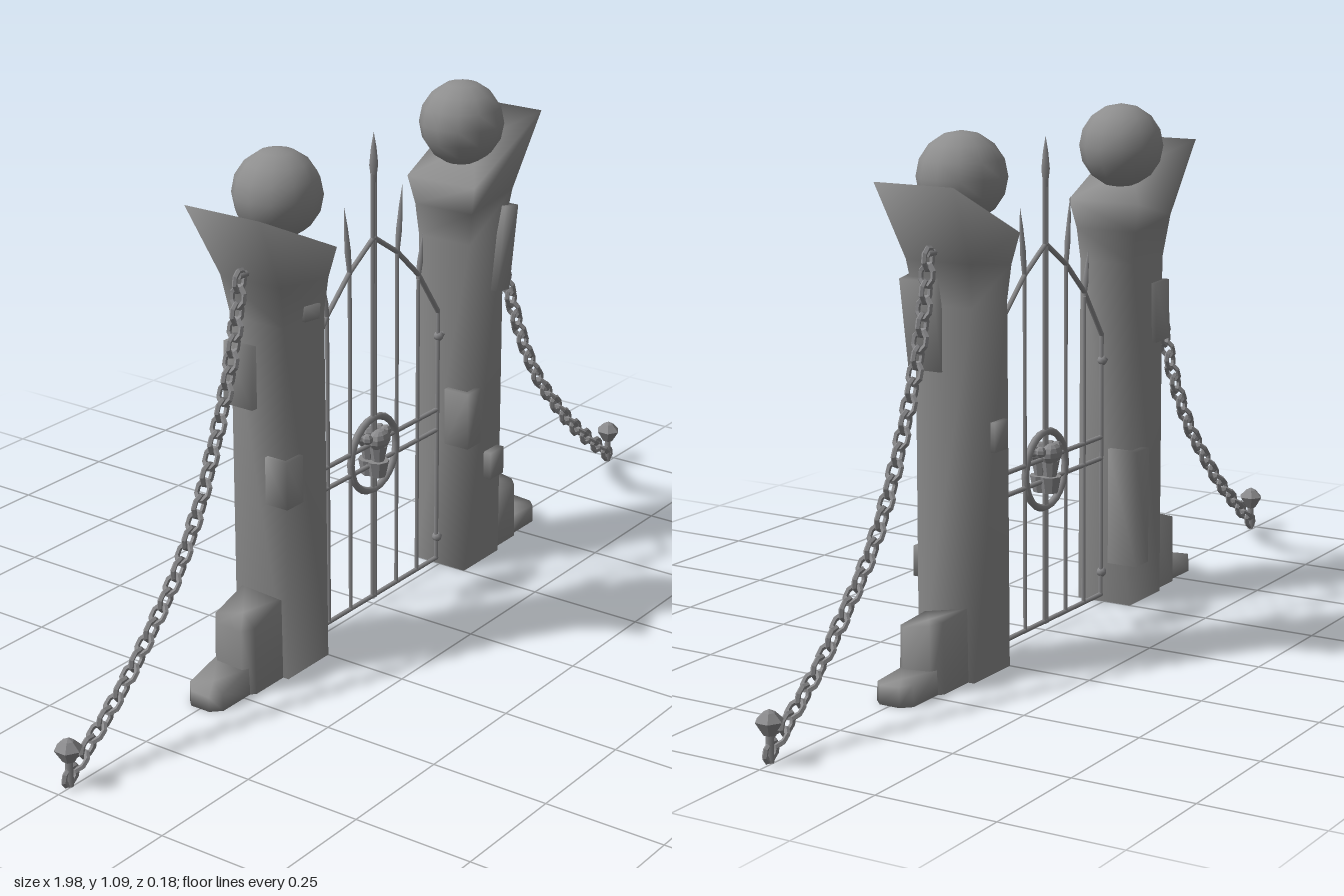
import * as THREE from 'three';
import { mergeVertices } from 'three/addons/utils/BufferGeometryUtils.js';

const stone = new THREE.MeshStandardMaterial({ color: 0x8e8e8e });
const iron = new THREE.MeshStandardMaterial({ color: 0x8a8a8c });
const facetedIron = new THREE.MeshStandardMaterial({ color: 0x8a8a8c, flatShading: true });
const V = (x, y, z = 0) => new THREE.Vector3(x, y, z);

function add(parent, name, geometry, material, pos = [0, 0, 0]) {
  const mesh = new THREE.Mesh(geometry, material);
  mesh.name = name;
  mesh.position.set(...pos);
  parent.add(mesh);
  return mesh;
}

// Straight round rod between two points
function rod(parent, name, a, b, r) {
  const d = b.clone().sub(a);
  const m = add(parent, name, new THREE.CylinderGeometry(r, r, d.length(), 6), iron);
  m.position.copy(a).add(b).multiplyScalar(0.5);
  m.quaternion.setFromUnitVectors(V(0, 1), d.normalize());
  return m;
}

// Softly shaded solid through closed rings of points, from the bottom up
function loft(rings) {
  const n = rings[0].length, last = (rings.length - 1) * n;
  const pos = rings.flat(2), index = [];
  for (const ring of [rings[0], rings[rings.length - 1]]) {
    for (let k = 0; k < 3; k++) pos.push(ring.reduce((sum, p) => sum + p[k], 0) / n);
  }
  const foot = rings.length * n, top = foot + 1;
  for (let i = 0; i < n; i++) {
    const j = (i + 1) % n;
    for (let r = 0; r < last; r += n) {
      index.push(r + i, r + j, r + j + n, r + i, r + j + n, r + i + n);
    }
    index.push(j, i, foot, last + i, last + j, top);
  }
  const g = new THREE.BufferGeometry();
  g.setAttribute('position', new THREE.Float32BufferAttribute(pos, 3));
  g.setIndex(index);
  g.computeVertexNormals();
  return g;
}

// Box with softly shaded shared corners
function softBox(w, h, d) {
  const g = new THREE.BoxGeometry(w, h, d);
  g.deleteAttribute('uv');
  g.deleteAttribute('normal');
  const soft = mergeVertices(g);
  soft.computeVertexNormals();
  return soft;
}

// Pillar shaft flaring into a leaning, pointed capital.
// Each section: inner x, inner y, outer x, outer y, inner half depth, outer half depth
function pillarGeometry() {
  const sections = [
    [0.25, 0, 0.385, 0, 0.065, 0.065],
    [0.256, 0.75, 0.385, 0.75, 0.065, 0.065],
    [0.251, 0.82, 0.405, 0.84, 0.072, 0.073],
    [0.24, 0.882, 0.487, 0.997, 0.085, 0.09],
  ];
  return loft(sections.map(([xi, yi, xo, yo, di, dO]) =>
    [[xi, yi, di], [xo, yo, dO], [xo, yo, -dO], [xi, yi, -di]]));
}

// Footing stone with cut outer corners and a sloping top
function stepStone(parent, name, x0, x1, yIn, yOut, d, tilt) {
  const c = 0.02;
  const outline = [[x0, d], [x1 - c, d], [x1, d - c], [x1, c - d], [x1 - c, -d], [x0, -d]];
  const topY = (x, z) => yIn + (yOut - yIn) * (x - x0) / (x1 - x0) - tilt * z / d;
  add(parent, name, loft([
    outline.map(([x, z]) => [x, 0, z]),
    outline.map(([x, z]) => [x, topY(x, z), z * 0.96]),
  ]), stone);
}

// Chain hanging from the pillar to a ground peg
function addChain(side) {
  const chain = new THREE.Group();
  chain.name = 'chain';
  side.add(chain);
  const curve = new THREE.CatmullRomCurve3([
    V(0.437, 0.85), V(0.45, 0.77), V(0.477, 0.665), V(0.524, 0.54), V(0.585, 0.41),
    V(0.65, 0.31), V(0.716, 0.237), V(0.78, 0.172), V(0.85, 0.112), V(0.965, 0.025)]);
  const link = new THREE.TorusGeometry(0.0155, 0.0055, 5, 8);
  link.rotateZ(Math.PI / 8).scale(1, 1.3, 1);
  const count = Math.round(curve.getLength() / 0.0315);
  for (let i = 0; i <= count; i++) {
    const p = curve.getPointAt(i / count), t = curve.getTangentAt(i / count);
    const m = add(chain, 'chainLink', link, facetedIron, p.toArray());
    m.rotation.set(0, i % 2 ? Math.PI / 2 : 0, Math.atan2(t.y, t.x) - Math.PI / 2, 'ZYX');
  }
  rod(chain, 'chainHook', V(0.37, 0.86), V(0.44, 0.86), 0.007);

  const peg = new THREE.Group();
  peg.name = 'groundPeg';
  peg.position.set(0.968, 0, 0);
  side.add(peg);
  rod(peg, 'pegStem', V(0, 0.004), V(0, 0.065), 0.008);
  const head = [[0, 0.052], [0.012, 0.057], [0.028, 0.083], [0.012, 0.099], [0, 0.105]];
  add(peg, 'pegHead', new THREE.LatheGeometry(head.map(p => new THREE.Vector2(...p)), 6),
    facetedIron);
}

// One side: pillar, ball, footing stones and chain
function makeSide(root, sign) {
  const side = new THREE.Group();
  side.name = sign > 0 ? 'leftSide' : 'rightSide';
  side.scale.x = sign;
  root.add(side);
  add(side, 'pillar', pillarGeometry(), stone);
  add(side, 'pillarBall', new THREE.SphereGeometry(0.09, 12, 8), stone, [0.316, 0.995, 0]);
  if (sign > 0) {
    stepStone(side, 'largeStep', 0.375, 0.492, 0.142, 0.134, 0.052, 0.01);
    stepStone(side, 'smallStep', 0.48, 0.586, 0.047, 0.04, 0.043, 0.003);
  } else {
    stepStone(side, 'largeStep', 0.375, 0.492, 0.178, 0.14, 0.052, 0.003);
    stepStone(side, 'smallStep', 0.48, 0.586, 0.06, 0.032, 0.043, 0.002);
  }
  // Raised stones: x, y, z, width, height, depth, lean
  const stones = sign > 0 ? [
    [0.379, 0.715, 0.042, 0.05, 0.185, 0.076, -0.16],
    [0.267, 0.357, 0.045, 0.05, 0.128, 0.06, 0.02],
    [0.348, 0.228, 0.06, 0.052, 0.062, 0.046, 0],
    [0.295, 0.485, -0.055, 0.05, 0.06, 0.04, 0],
  ] : [
    [0.368, 0.427, 0.048, 0.052, 0.1, 0.054, 0],
    [0.303, 0.762, 0.055, 0.046, 0.03, 0.036, 0.1],
    [0.368, 0.635, -0.04, 0.06, 0.13, 0.072, 0.04],
    [0.27, 0.218, -0.048, 0.055, 0.255, 0.07, 0],
  ];
  for (const [x, y, z, w, h, d, lean] of stones) {
    add(side, 'raisedStone', softBox(w, h, d), stone, [x, y, z]).rotation.z = lean;
  }
  addChain(side);
}

// Lathe-turned spear point rising from the end of a bar
function spike(parent, x, y, height, radius, lean) {
  const pts = [[0.005, 0], [radius, height * 0.35], [radius * 0.6, height * 0.7], [0, height]];
  const m = add(parent, 'spearPoint',
    new THREE.LatheGeometry(pts.map(p => new THREE.Vector2(...p)), 6), iron, [x, y, 0]);
  m.rotation.z = lean;
}

function makeGate(root) {
  const gate = new THREE.Group();
  gate.name = 'gate';
  root.add(gate);
  rod(gate, 'bottomRail', V(-0.238, 0.02), V(0.238, 0.02), 0.005);
  for (const y of [0.325, 0.372]) rod(gate, 'middleRail', V(-0.236, y), V(0.236, y), 0.005);
  for (const s of [-1, 1]) {
    rod(gate, 'sideBar', V(s * 0.235, 0.02), V(s * 0.235, 0.6), 0.005);
    const arch = [[0.235, 0.596], [0.16, 0.7], [0.083, 0.77], [0, 0.823]];
    for (let i = 0; i < 3; i++) {
      rod(gate, 'archBar', V(s * arch[i][0], arch[i][1]), V(s * arch[i + 1][0], arch[i + 1][1]), 0.0055);
    }
    for (const [x, y, h] of [[0.16, 0.69, 0.098], [0.083, 0.765, 0.148]]) {
      rod(gate, 'uprightBar', V(s * x, 0.02), V(s * x, y), 0.0045);
      spike(gate, s * x, y, h, 0.007, -s * (x > 0.1 ? 0.16 : 0.12));
    }
    for (const y of [0.07, 0.54]) {
      add(gate, 'hinge', new THREE.SphereGeometry(0.011, 8, 6), iron, [s * 0.238, y, 0]);
      rod(gate, 'hingePin', V(s * 0.235, y), V(s * 0.265, y), 0.005);
    }
    // Meeting bars of the two leaves
    rod(gate, 'centreBar', V(s * 0.004, 0.015), V(s * 0.004, 0.96), 0.005);
  }
  spike(gate, 0, 0.94, 0.105, 0.01, 0);

  // Round medallion with a small skull-like boss on both faces
  add(gate, 'medallionRing', new THREE.TorusGeometry(0.081, 0.008, 6, 24), iron, [0, 0.348, 0]);
  for (const s of [-1, 1]) {
    const boss = new THREE.Group();
    boss.name = 'boss';
    gate.add(boss);
    add(boss, 'bossCrown', new THREE.SphereGeometry(0.03, 10, 7), facetedIron, [0, 0.383, s * 0.015])
      .scale.set(1, 0.75, 0.65);
    for (const x of [-0.033, 0.033]) {
      add(boss, 'bossEar', new THREE.SphereGeometry(0.012, 6, 5), facetedIron, [x, 0.392, s * 0.008]);
    }
    add(boss, 'bossNeck', new THREE.CylinderGeometry(0.02, 0.013, 0.035, 8), facetedIron, [0, 0.352, s * 0.012]);
    add(boss, 'bossChin', new THREE.CylinderGeometry(0.025, 0.018, 0.035, 8), facetedIron, [0, 0.318, s * 0.01]);
  }
}

export function createModel() {
  const root = new THREE.Group();
  root.name = 'graveyardGate';
  makeSide(root, 1);
  makeSide(root, -1);
  makeGate(root);
  return root;
}
